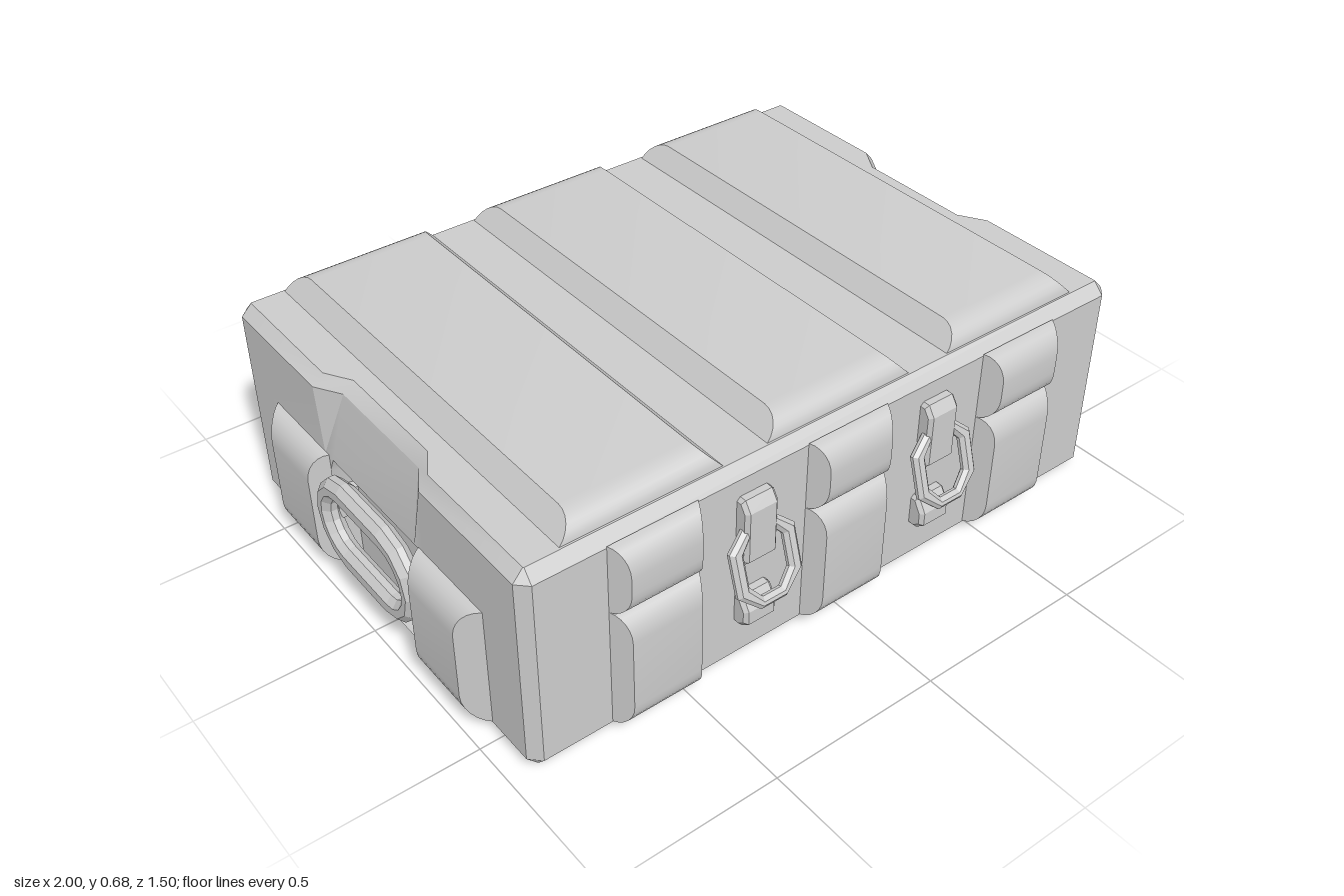
import * as THREE from 'three';
import { toCreasedNormals } from 'three/addons/utils/BufferGeometryUtils.js';

const material = new THREE.MeshStandardMaterial({ color: 0xcccccc });

function add(parent, name, geometry, x = 0, y = 0, z = 0) {
  const mesh = new THREE.Mesh(geometry, material);
  mesh.name = name;
  mesh.position.set(x, y, z);
  parent.add(mesh);
  return mesh;
}

function fromTriangles(corners, crease) {
  const geometry = new THREE.BufferGeometry();
  geometry.setAttribute('position', new THREE.Float32BufferAttribute(corners.flat(), 3));
  return toCreasedNormals(geometry, crease);
}

// Chamfered box lofted upwards, with a recess in the middle of each side wall
function bodyGeometry() {
  // height, edge inset, recess depth, recess half width at its mouth and at its floor
  const levels = [
    [0, 0.03, 0, 0.225, 0.2], [0.035, 0, 0, 0.225, 0.2],
    [0.04, 0, 0.05, 0.225, 0.21], [0.34, 0, 0.05, 0.225, 0.21],
    [0.39, 0, 0, 0.24, 0.2], [0.59, 0, 0.045, 0.255, 0.18],
    [0.622, 0.03, 0.045, 0.25, 0.175],
  ];
  const rings = levels.map(([y, inset, d, o, n]) => {
    const a = 0.945 - inset, b = 0.675 - inset, k = Math.max(0.03 - inset, 0.002);
    const half = [[a - k, b], [a, b - k], [a, o], [a - d, n],
      [a - d, -n], [a, -o], [a, k - b], [a - k, -b]];
    return [...half, ...half.map(([x, z]) => [-x, -z])].map(([x, z]) => [x, y, z]);
  });
  const tris = [], count = rings[0].length;
  const bottom = rings[0], top = rings[rings.length - 1];
  for (let i = 0; i < count; i++) {
    const j = (i + 1) % count;
    for (let l = 0; l < rings.length - 1; l++) {
      const A = rings[l], B = rings[l + 1];
      tris.push(A[i], A[j], B[j], A[i], B[j], B[i]);
    }
    tris.push(top[i], top[j], [0, top[0][1], 0]);
    tris.push(bottom[j], bottom[i], [0, bottom[0][1], 0]);
  }
  return fromTriangles(tris.flat().length ? tris : [], 0.45);
}

// Raised pad: rounded profile along y, sloped ends along x, bulging towards +z
function padGeometry(half, v0, v1, depth, radius, taperLeft, taperRight) {
  const steps = 6, profile = [];
  for (let i = 0; i <= steps; i++) {
    const t = (i / steps) * Math.PI / 2;
    profile.push([v0 + radius * (1 - Math.cos(t)), depth * Math.sin(t)]);
  }
  for (let i = steps; i >= 0; i--) profile.push([v0 + v1 - profile[i][0], profile[i][1]]);
  const L = profile.map(([v, h]) => [-half + taperLeft * h / depth, v, h]);
  const R = profile.map(([v, h]) => [half - taperRight * h / depth, v, h]);
  const tris = [];
  for (let i = 0; i < profile.length - 1; i++) {
    tris.push(L[i], R[i], R[i + 1], L[i], R[i + 1], L[i + 1]);
    if (i > 0) tris.push(R[0], R[i + 1], R[i], L[0], L[i], L[i + 1]);
  }
  return fromTriangles(tris, 0.5);
}

// Ring made by extruding an outline with a hole, with bevelled rims
function ringGeometry(outer, inner, thickness, bevel) {
  const shape = new THREE.Shape(outer);
  shape.holes.push(new THREE.Path(inner));
  const geometry = new THREE.ExtrudeGeometry(shape, {
    depth: thickness - 2 * bevel, bevelEnabled: true, bevelSegments: 1,
    bevelSize: bevel, bevelOffset: -bevel, bevelThickness: bevel,
  });
  return geometry.translate(0, 0, bevel - thickness / 2);
}

function stadium(halfLength, radius, segments) {
  const points = [];
  for (const side of [1, -1]) {
    for (let i = 0; i <= segments; i++) {
      const t = (i / segments - 0.5) * Math.PI;
      points.push(new THREE.Vector2(
        side * (halfLength - radius + radius * Math.cos(t)), side * radius * Math.sin(t)));
    }
  }
  return points;
}

function octagon(w, h, kw, kh) {
  return [[w, -kh], [w, kh], [kw, h], [-kw, h], [-w, kh], [-w, -kh], [-kw, -h], [kw, -h]]
    .map(([x, y]) => new THREE.Vector2(x, y));
}

// Strap side profile (z, y) extruded across x
function strapGeometry(profile, width) {
  const shape = new THREE.Shape(profile.map(([z, y]) => new THREE.Vector2(z, y)));
  const geometry = new THREE.ExtrudeGeometry(shape, {
    depth: width - 0.02, bevelEnabled: true, bevelSegments: 1,
    bevelSize: 0.01, bevelOffset: -0.01, bevelThickness: 0.01,
  });
  return geometry.translate(0, 0, 0.01 - width / 2).rotateY(-Math.PI / 2).scale(1, 1, 1);
}

function createLatch() {
  const latch = new THREE.Group();
  latch.name = 'latch';
  add(latch, 'latchUpperStrap', strapGeometry(
    [[-0.02, 0.36], [0.02, 0.34], [0.04, 0.36], [0.04, 0.51], [0.02, 0.54], [-0.02, 0.54]], 0.1));
  add(latch, 'latchHook', strapGeometry(
    [[-0.02, 0.14], [0.02, 0.14], [0.045, 0.16], [0.045, 0.2], [0.02, 0.24], [-0.02, 0.24]], 0.1));
  const ring = add(latch, 'latchRing', ringGeometry(
    octagon(0.1, 0.115, 0.04, 0.06), octagon(0.062, 0.085, 0.028, 0.045), 0.03, 0.01), 0, 0.355, 0.05);
  ring.rotation.x = -0.3;
  return latch;
}

export function createModel() {
  const model = new THREE.Group();
  model.name = 'case';
  const box = new THREE.Group();
  box.name = 'caseBody';
  box.position.z = -0.025;
  model.add(box);
  add(box, 'shell', bodyGeometry());

  // Lid ridges running front to back
  for (const x of [-0.59, 0, 0.59]) {
    add(box, 'lidRidge', padGeometry(0.23, -0.64, 0.64, 0.055, 0.07, 0.05, 0.05), x, 0.62, 0)
      .rotation.x = -Math.PI / 2;
  }

  // Two tiers of pads on the front and back
  for (const side of [1, -1]) {
    for (const x of [-0.59, 0, 0.59]) {
      for (const [name, y0, y1] of [['lowerPad', 0.037, 0.395], ['upperPad', 0.395, 0.595]]) {
        add(box, name, padGeometry(0.128, y0, y1, 0.054, 0.075, 0.027, 0.027), x, 0, side * 0.675)
          .rotation.y = side > 0 ? 0 : Math.PI;
      }
    }
  }

  // Side pads either side of each handle, and the handles
  for (const s of [1, -1]) {
    for (const t of [1, -1]) {
      const outerIsRight = s * t < 0;
      add(box, 'sidePad', padGeometry(0.14, 0.037, 0.395, 0.055, 0.08,
        outerIsRight ? 0.03 : 0.05, outerIsRight ? 0.05 : 0.03), s * 0.945, 0, t * 0.36)
        .rotation.y = s * Math.PI / 2;
      add(box, 'handleMount', new THREE.BoxGeometry(0.07, 0.08, 0.03), s * 0.92, 0.25, t * 0.2);
    }
    add(box, 'handle', ringGeometry(stadium(0.24, 0.14, 6), stadium(0.182, 0.075, 8), 0.055, 0.018),
      s * 0.97, 0.25, 0).rotation.y = s * Math.PI / 2;
  }

  // Front latches
  for (const x of [-0.297, 0.297]) {
    const latch = createLatch();
    latch.position.set(x, 0, 0.675);
    box.add(latch);
  }
  return model;
}
